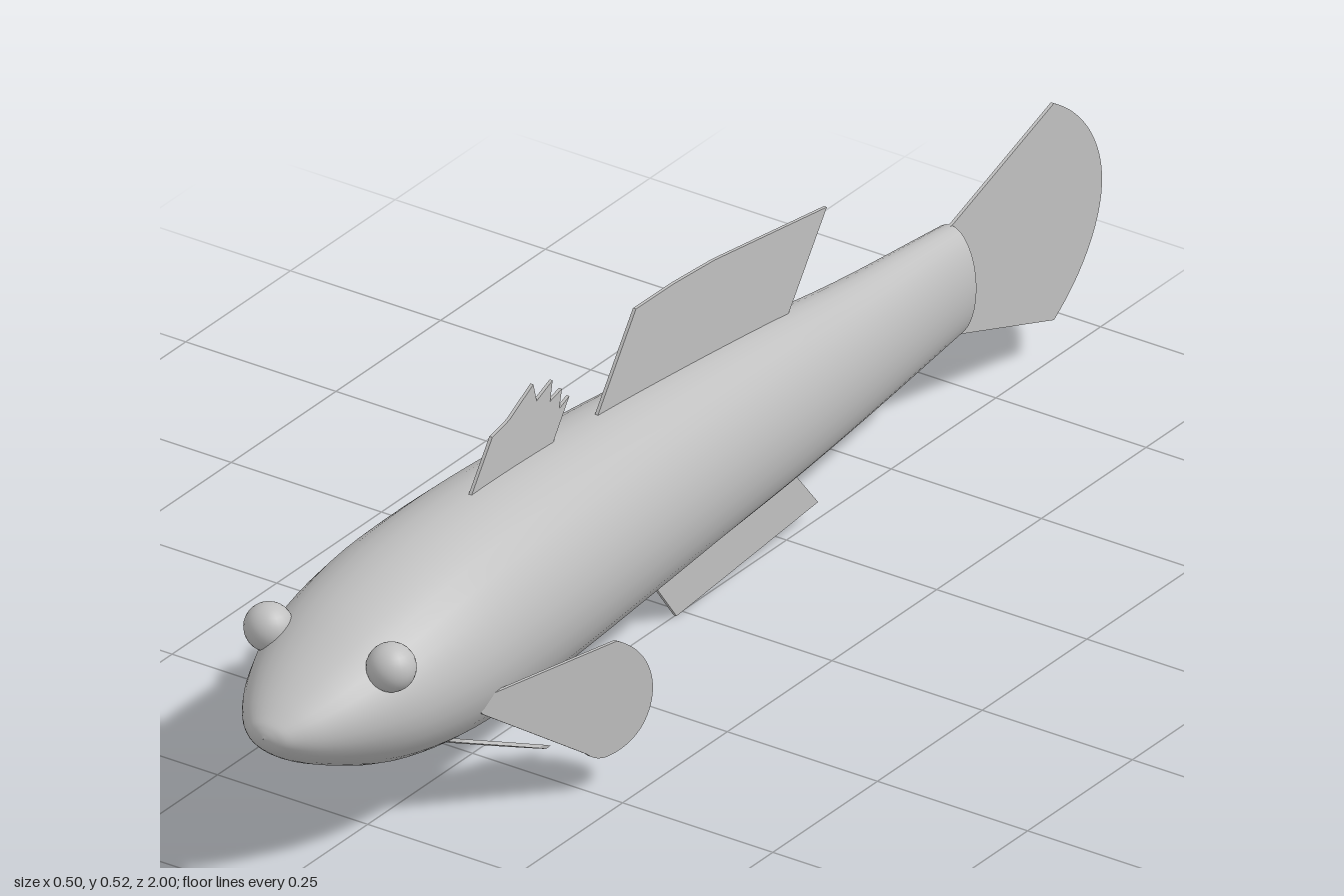
import * as THREE from 'three';

const T = 0.005; // fin thickness

// Smooth loft through stations [z, halfWidth, top, bottom], from tail to snout
function bodyGeometry() {
  const stations = [
    [-0.642, 0.043, 0.318, 0.147], [-0.4, 0.066, 0.336, 0.125], [-0.2, 0.088, 0.36, 0.113],
    [0, 0.106, 0.38, 0.105], [0.2, 0.124, 0.396, 0.097], [0.4, 0.141, 0.405, 0.091],
    [0.55, 0.149, 0.404, 0.09], [0.68, 0.152, 0.391, 0.101], [0.8, 0.138, 0.362, 0.126],
    [0.89, 0.105, 0.324, 0.161], [0.95, 0.07, 0.292, 0.191], [0.985, 0.038, 0.268, 0.217],
    [0.996, 0.018, 0.256, 0.231], [1, 0.0005, 0.245, 0.244],
  ];
  const spline = (pick) => new THREE.CatmullRomCurve3(
    stations.map((s) => new THREE.Vector3(...pick(s))), false, 'catmullrom', 0.5);
  const section = spline(([, w, top, bottom]) => [w, (top - bottom) / 2, (top + bottom) / 2]);
  const along = spline(([z]) => [z, 0, 0]);
  const rings = (stations.length - 1) * 4, sides = 32, pos = [], index = [];
  for (let i = 0; i <= rings; i++) {
    const s = section.getPoint(i / rings), z = along.getPoint(i / rings).x;
    for (let j = 0; j < sides; j++) {
      const a = (j / sides) * Math.PI * 2;
      pos.push(s.x * Math.cos(a), s.z + s.y * Math.sin(a), z);
      if (i === rings) continue;
      const p = i * sides + j, q = i * sides + (j + 1) % sides;
      index.push(p, q, q + sides, p, q + sides, p + sides);
    }
  }
  const g = new THREE.BufferGeometry();
  g.setAttribute('position', new THREE.Float32BufferAttribute(pos, 3));
  g.setIndex(index);
  g.computeVertexNormals();
  return g;
}

// Thin plate from an outline, centred on its own plane
function plate(shape, depth = T) {
  const g = new THREE.ExtrudeGeometry(shape, { depth, bevelEnabled: false, curveSegments: 16 });
  return g.translate(0, 0, -depth / 2);
}

const outline = (points) => new THREE.Shape(points.map(([a, b]) => new THREE.Vector2(a, b)));

// Plate drawn in (z, y) and stood upright along the body
const uprightFin = (shape) => plate(shape).rotateY(-Math.PI / 2);

// Slant a plate by moving every vertex with a rule
function slant(g, rule) {
  const p = g.attributes.position;
  for (let i = 0; i < p.count; i++) {
    const [x, y, z] = rule(p.getX(i), p.getY(i), p.getZ(i));
    p.setXYZ(i, x, y, z);
  }
  g.computeVertexNormals();
  return g;
}

export function createModel() {
  const model = new THREE.Group();
  model.name = 'fish';
  const grey = new THREE.MeshStandardMaterial({ color: 0xc0c0c0 });
  grey.name = 'grey';
  const add = (name, geometry) => {
    const mesh = new THREE.Mesh(geometry, grey);
    mesh.name = name;
    model.add(mesh);
    return mesh;
  };

  // Body and the flat end where the tail joins
  add('body', bodyGeometry());
  add('bodyEnd', new THREE.CircleGeometry(1, 32).scale(0.043, 0.0855, 1)
    .rotateY(Math.PI).translate(0, 0.2325, -0.642));

  // Spiny front dorsal fin
  add('frontDorsalFin', uprightFin(outline([
    [0.52, 0.39], [0.504, 0.407], [0.456, 0.473], [0.415, 0.482], [0.358, 0.512], [0.35, 0.483],
    [0.312, 0.498], [0.318, 0.468], [0.29, 0.475], [0.296, 0.447], [0.272, 0.456],
    [0.308, 0.405], [0.316, 0.39],
  ])));

  // Long rear dorsal fin and the anal fin below it
  add('rearDorsalFin', uprightFin(outline([
    [0.215, 0.38], [0.204, 0.396], [0.113, 0.521], [0.02, 0.52], [-0.075, 0.514],
    [-0.343, 0.478], [-0.252, 0.354], [-0.24, 0.338],
  ])));
  add('analFin', uprightFin(outline([
    [0.11, 0.125], [0.091, 0.102], [0.016, 0.002], [-0.322, 0.03], [-0.247, 0.12], [-0.235, 0.14],
  ])));

  // Rounded tail fan
  const tail = new THREE.Shape();
  tail.moveTo(-0.635, 0.318);
  tail.lineTo(-0.643, 0.318);
  tail.lineTo(-0.885, 0.4);
  tail.bezierCurveTo(-0.96, 0.355, -1, 0.29, -1, 0.232);
  tail.bezierCurveTo(-1, 0.175, -0.96, 0.11, -0.885, 0.064);
  tail.lineTo(-0.643, 0.147);
  tail.lineTo(-0.635, 0.147);
  add('tailFin', uprightFin(tail));

  // Paired parts
  for (const [side, s] of [['left', 1], ['right', -1]]) {
    const eye = add(side + 'Eye', new THREE.SphereGeometry(0.035, 24, 16));
    eye.position.set(0.102 * s, 0.317, 0.84);

    // Pectoral fin, swept outwards to the rear
    const pectoral = new THREE.Shape();
    pectoral.moveTo(0.69, 0.206);
    pectoral.lineTo(0.477, 0.235);
    pectoral.bezierCurveTo(0.44, 0.215, 0.424, 0.18, 0.424, 0.145);
    pectoral.bezierCurveTo(0.426, 0.1, 0.45, 0.066, 0.493, 0.06);
    pectoral.quadraticCurveTo(0.51, 0.06, 0.52, 0.072);
    pectoral.lineTo(0.675, 0.182);
    add(side + 'PectoralFin', slant(uprightFin(pectoral),
      (x, y, z) => [x + s * (0.148 + (0.65 - z) * 0.43), y, z]));

    // Small pelvic fin, trailing back and out below the belly
    const pelvic = outline([
      [0.028, 0.1], [0.06, 0.11], [0.062, 0.088], [0.08, 0.057], [0.093, 0.028], [0.091, 0.017],
      [0.08, 0.023], [0.058, 0.042], [0.042, 0.07],
    ].map(([x, y]) => [x * s, y]));
    add(side + 'PelvicFin', slant(plate(pelvic, 0.012),
      (x, y, z) => [x, y, z + 0.456 + 2 * (y - 0.02) - 0.6 * (Math.abs(x) - 0.09)]));
  }
  return model;
}
